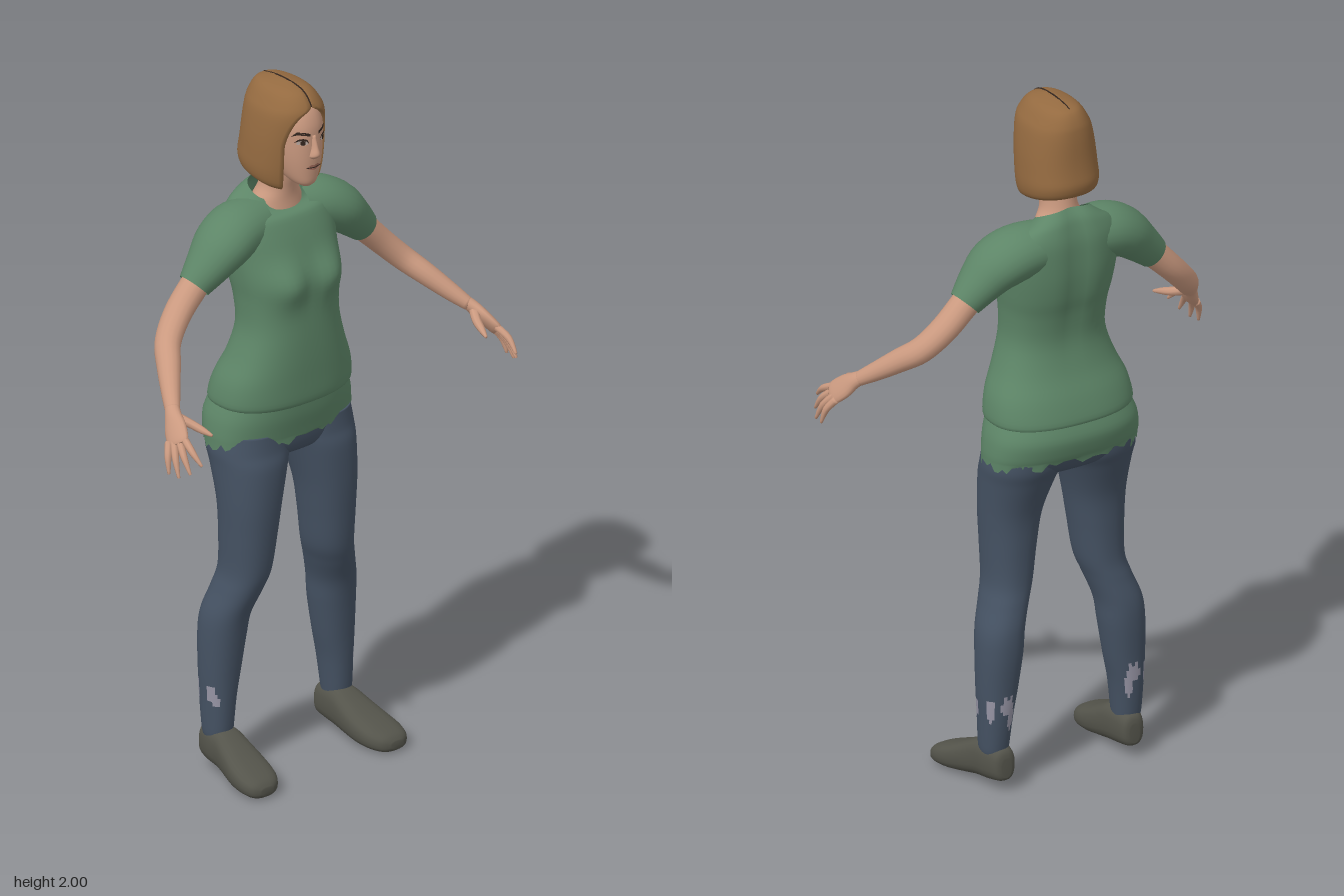
import * as THREE from 'three';

const V = (x, y, z) => new THREE.Vector3(x, y, z);
const mat = (name, color, side = THREE.FrontSide) => {
  const m = new THREE.MeshStandardMaterial({ color, side });
  m.name = name;
  return m;
};

// Catmull-Rom through rows of numbers, k steps per span
function smooth(rows, k = 4) {
  const out = [], at = i => rows[Math.min(rows.length - 1, Math.max(0, i))];
  for (let i = 0; i < rows.length - 1; i++)
    for (let s = 0; s < k; s++) {
      const t = s / k;
      out.push(rows[i].map((b, c) => {
        const a = at(i - 1)[c], d = at(i + 1)[c], e = at(i + 2)[c];
        return b + 0.5 * t * (d - a + t * (2 * a - 5 * b + 4 * d - e + t * (3 * (b - d) + e - a)));
      }));
    }
  out.push(rows[rows.length - 1]);
  return out;
}

// Horizontal rounded cross-section, starting at the front and turning to +x
const pow = (v, e) => Math.sign(v) * Math.abs(v) ** e;
function oval(y, x0, x1, z0, z1, n = 2.3, N = 32) {
  return Array.from({ length: N }, (_, j) => {
    const a = j / N * Math.PI * 2;
    return V((x0 + x1) / 2 + (x1 - x0) / 2 * pow(Math.sin(a), 2 / n), y,
      (z0 + z1) / 2 + (z1 - z0) / 2 * pow(Math.cos(a), 2 / n));
  });
}

// Skin over closed rings; pick(i, j, point) may send a quad to the second material
function skin(rings, caps = true, pick = () => false) {
  const N = rings[0].length, pos = [], lists = [[], []];
  rings.forEach(r => r.forEach(p => pos.push(p.x, p.y, p.z)));
  for (let i = 0; i < rings.length - 1; i++)
    for (let j = 0; j < N; j++) {
      const a = i * N + j, b = i * N + (j + 1) % N;
      lists[pick(i, j, rings[i][j]) ? 1 : 0].push(a, b, b + N, a, b + N, a + N);
    }
  if (caps) [0, rings.length - 1].forEach((i, end) => {
    const c = rings[i].reduce((s, p) => s.add(p), V(0, 0, 0)).divideScalar(N);
    const k = pos.length / 3;
    pos.push(c.x, c.y, c.z);
    for (let j = 0; j < N; j++) {
      const a = i * N + j, b = i * N + (j + 1) % N;
      end ? lists[0].push(k, a, b) : lists[0].push(k, b, a);
    }
  });
  const g = new THREE.BufferGeometry();
  g.setAttribute('position', new THREE.Float32BufferAttribute(pos, 3));
  g.setIndex([...lists[0], ...lists[1]]);
  if (lists[1].length) {
    g.addGroup(0, lists[0].length, 0);
    g.addGroup(lists[0].length, lists[1].length, 1);
  }
  g.computeVertexNormals();
  return g;
}

// Limb along rows of [x, y, z, radius across, radius through]
function limb(rows, caps = true, N = 16, k = 4) {
  const r = smooth(rows, k);
  return skin(r.map((p, i) => {
    const a = r[Math.max(0, i - 1)], b = r[Math.min(r.length - 1, i + 1)];
    const T = V(b[0] - a[0], b[1] - a[1], b[2] - a[2]).normalize();
    const U = V(0, 0, 1).addScaledVector(T, -T.z).normalize(), B = T.clone().cross(U);
    return Array.from({ length: N }, (_, j) => {
      const t = j / N * Math.PI * 2;
      return V(p[0], p[1], p[2]).addScaledVector(U, Math.cos(t) * p[3]).addScaledVector(B, Math.sin(t) * p[4]);
    });
  }), caps);
}

function mirrored(g) {
  const m = g.clone().scale(-1, 1, 1), ix = m.index.array;
  for (let i = 0; i < ix.length; i += 3) [ix[i], ix[i + 1]] = [ix[i + 1], ix[i]];
  m.computeVertexNormals();
  return m;
}

export function createModel() {
  const root = new THREE.Group();
  const D = THREE.DoubleSide;
  const skinM = mat('skin', 0xcb9a80), shirtM = mat('shirt green', 0x5d8567, D), jeansM = mat('denim blue', 0x455263);
  const hairM = mat('hair brown', 0x946a40, D), shoeM = mat('shoe grey', 0x54544b), patchM = mat('worn patch', 0x9896a6);
  const darkM = mat('dark brown', 0x33261f), whiteM = mat('eye white', 0xb9aaa2), lipM = mat('lip', 0xa56f5f);
  const add = (name, g, m) => {
    const mesh = new THREE.Mesh(g, m);
    mesh.name = name;
    root.add(mesh);
  };
  const pair = (name, g, m) => { add(name + 'Left', g, m); add(name + 'Right', mirrored(g), m); };

  // Shirt body: y, half width, front z, back z
  const torso = smooth([
    [1.075, .203, .033, -.222], [1.09, .214, .042, -.232], [1.15, .204, .045, -.215], [1.22, .174, .047, -.186],
    [1.30, .15, .046, -.17], [1.38, .15, .042, -.18], [1.44, .158, .036, -.196], [1.50, .165, .02, -.205],
    [1.56, .17, .002, -.207], [1.61, .165, -.02, -.205], [1.65, .14, -.042, -.196], [1.675, .108, -.058, -.186],
    [1.697, .078, -.068, -.168]]).map(([y, w, f, b]) => {
    const ring = oval(y, -w, w, b, f, 2.4, 48);
    const t = THREE.MathUtils.smoothstep(y, 1.6, 1.69);
    ring.forEach(p => {
      const front = (p.z - b) / (f - b);
      if (front > .5) p.z += .03 * Math.exp(-(((Math.abs(p.x) - .075) / .06) ** 2) - ((y - 1.44) / .06) ** 2);
      if (front < .5) p.z += .012 * Math.exp(-((p.x / .03) ** 2)) * THREE.MathUtils.smoothstep(y, 1.2, 1.5);
      p.y -= .05 * t * front;
    });
    return ring;
  });
  add('shirtBody', skin(torso, false), shirtM);
  pair('sleeve', limb([[.07, 1.585, -.115, .08, .07], [.14, 1.58, -.11, .088, .074], [.2, 1.553, -.1, .086, .07],
    [.25, 1.51, -.098, .068, .058], [.298, 1.463, -.1, .046, .045]], false, 24), shirtM);

  // Under-layer at the hips, with a ragged lower edge
  const hips = smooth([[.975, .229, .016, -.222], [1.0, .229, .021, -.232], [1.045, .222, .03, -.24],
    [1.09, .205, .034, -.226]]).map(([y, w, f, b], i) => {
    const ring = oval(y, -w, w, b, f, 2.4, 64);
    if (i === 0) ring.forEach((p, j) => { p.y += .009 * Math.sin(j * 2.3) + .007 * Math.sin(j * .9) - .012 * Math.abs(p.x) / w; });
    return ring;
  });
  add('hipLayer', skin(hips, false), shirtM);

  // Jeans: seat and legs
  add('jeansSeat', skin(smooth([[.912, .05, -.03, -.12], [.925, .15, -.005, -.175], [.95, .215, .008, -.205],
    [1.0, .223, .014, -.224], [1.06, .2, .012, -.215]]).map(([y, w, f, b]) => oval(y, -w, w, b, f, 2.4))), jeansM);
  const leg = smooth([[.105, .172, .245, -.066, -.144], [.13, .17, .249, -.06, -.15], [.22, .16, .253, -.055, -.16],
    [.30, .145, .257, -.05, -.165], [.40, .13, .257, -.04, -.172], [.47, .122, .25, -.028, -.17],
    [.54, .1, .226, -.005, -.156], [.60, .08, .211, .01, -.146], [.70, .065, .212, .02, -.146],
    [.80, .048, .217, .026, -.154], [.90, .02, .222, .025, -.185], [.95, 0, .225, .014, -.204],
    [1.0, 0, .218, .008, -.21]], 7).map(([y, a, b, f, k]) => oval(y, a, b, k, f, 2.2, 40));
  // Worn patches: ring position, height, spread in each
  const spots = [[7, .235, 1.7, .025], [5, .215, 1.2, .02], [14, .24, 1.4, .04], [20, .25, 2.6, .028], [22, .21, 1.8, .03]];
  pair('jeansLeg', skin(leg, true, (i, j, p) => spots.some(([a, y, da, dy]) =>
    ((j - a) / da) ** 2 + ((p.y - y) / dy) ** 2 < 1 + .3 * Math.sin(i * 5 + j * 3))), [jeansM, patchM]);

  // Shoes: z, inner x, outer x, bottom, top
  pair('shoe', skin(smooth([[-.162, .188, .218, .045, .1], [-.152, .172, .236, .034, .125], [-.11, .164, .25, .026, .137],
    [-.065, .16, .256, .02, .134], [-.02, .156, .268, .012, .112], [.03, .155, .281, .004, .087],
    [.08, .163, .285, .001, .066], [.113, .183, .274, .002, .05], [.127, .21, .25, .012, .034]])
    .map(([z, a, b, lo, hi]) => oval(0, a, b, lo, hi, 2.6, 24).reverse().map(p => V(p.x, p.z, z)))), shoeM);

  // Arms and hands
  pair('arm', limb([[.24, 1.515, -.1, .042, .042], [.30, 1.46, -.1, .041, .039], [.36, 1.4, -.095, .041, .036],
    [.415, 1.343, -.07, .038, .034], [.455, 1.3, -.02, .034, .031], [.495, 1.255, .035, .027, .025],
    [.525, 1.222, .078, .021, .018]]), skinM);
  pair('palm', limb([[.515, 1.234, .062, .02, .018], [.53, 1.217, .085, .024, .018], [.545, 1.192, .112, .035, .017],
    [.56, 1.167, .14, .036, .014], [.565, 1.158, .149, .03, .01]]), skinM);
  const tips = [[.556, 1.122, .235], [.577, 1.095, .212], [.593, 1.08, .183], [.598, 1.082, .148]];
  tips.forEach(([x, y, z], i) => {
    const k = (1.5 - i) * .017, a = [.562 - .35 * k, 1.166 + .35 * k, .138 + .87 * k];
    const mid = [(a[0] + x) / 2 + .006, (a[1] + y) / 2 + .005, (a[2] + z) / 2 + .003];
    pair('finger' + (i + 1), limb([[...a, .011, .011], [...mid, .0095, .0095], [x, y, z, .004, .004]], true, 8), skinM);
  });
  pair('thumb', limb([[.528, 1.213, .092, .014, .014], [.507, 1.198, .13, .013, .012], [.495, 1.187, .165, .01, .01],
    [.485, 1.178, .195, .004, .004]], true, 8), skinM);

  // Neck and head
  add('neck', skin(smooth([[1.6, .085, -.045, -.165], [1.645, .074, -.05, -.165], [1.68, .054, -.048, -.155],
    [1.72, .049, -.04, -.148], [1.79, .05, -.03, -.14]]).map(([y, w, f, b]) => oval(y, -w, w, b, f, 2))), skinM);
  const headRows = smooth([[1.716, .016, .03, -.01], [1.728, .033, .041, -.04], [1.755, .05, .046, -.09],
    [1.80, .065, .05, -.13], [1.85, .074, .05, -.155], [1.90, .076, .046, -.165], [1.945, .064, .024, -.155],
    [1.97, .035, -.02, -.12]], 6);
  add('head', skin(headRows.map(([y, w, f, b]) => oval(y, -w, w, b, f, 2.2, 40))), skinM);
  add('nose', skin(smooth([[1.801, .006, .03, .05], [1.81, .015, .03, .064], [1.82, .014, .03, .07],
    [1.84, .009, .03, .064], [1.872, .007, .03, .053]]).map(([y, w, b, f]) => oval(y, -w, w, b, f, 2, 16))), skinM);
  pair('ear', new THREE.SphereGeometry(1, 12, 8).scale(.008, .028, .018).translate(.074, 1.84, -.055), skinM);

  // Face details laid on the head surface
  const faceZ = (x, y) => {
    const r = headRows.reduce((m, q) => Math.abs(q[0] - y) < Math.abs(m[0] - y) ? q : m);
    return (r[2] + r[3]) / 2 + (r[2] - r[3]) / 2 * Math.max(0, 1 - Math.abs(x / r[1]) ** 2.2) ** (1 / 2.2);
  };
  const plate = (pts, lift) => {
    const g = new THREE.ShapeGeometry(new THREE.Shape(pts.map(p => new THREE.Vector2(...p)))), a = g.attributes.position;
    for (let i = 0; i < a.count; i++) a.setZ(i, faceZ(a.getX(i), a.getY(i)) + lift);
    g.computeVertexNormals();
    return g;
  };
  pair('eye', plate([[.02, 1.851], [.034, 1.848], [.049, 1.853], [.045, 1.862], [.033, 1.865], [.024, 1.86]], .002), whiteM);
  pair('iris', plate([[.029, 1.851], [.035, 1.849], [.041, 1.852], [.041, 1.861], [.035, 1.864], [.029, 1.861]], .004), darkM);
  pair('eyelid', plate([[.019, 1.853], [.025, 1.86], [.034, 1.864], [.045, 1.862], [.054, 1.856], [.046, 1.867], [.034, 1.869], [.024, 1.865]], .004), darkM);
  pair('eyebrow', plate([[.014, 1.873], [.03, 1.877], [.046, 1.88], [.058, 1.874], [.047, 1.888], [.03, 1.886], [.014, 1.88]], .003), darkM);
  pair('lips', plate([[0, 1.77], [.014, 1.773], [.025, 1.779], [.01, 1.787], [0, 1.785]], .003), lipM);
  pair('mouthLine', plate([[0, 1.777], [.025, 1.778], [.025, 1.78], [0, 1.78]], .005), darkM);

  // Bobbed hair, open at the face: y, half width, front z, back z, half opening
  const hairRows = smooth([[1.702, .088, .005, -.193, .06], [1.715, .1, .014, -.202, .064], [1.75, .106, .022, -.207, .068],
    [1.80, .105, .03, -.203, .07], [1.85, .102, .036, -.198, .07], [1.90, .095, .044, -.195, .057],
    [1.93, .088, .045, -.192, .036], [1.95, .078, .04, -.188, .003], [1.975, .062, .022, -.176, .001],
    [1.99, .043, -.002, -.158, .001], [1.999, .012, -.045, -.11, .0005]], 3);
  const M = 40, n = 2.3;
  add('hair', skin(hairRows.map(([y, w, f, b, open], i) => {
    const c = (f + b) / 2, r = (f - b) / 2, a0 = Math.asin(Math.min(1, Math.max(.0001, open) / w) ** (n / 2));
    const inner = y > 1.94 ? .9 : i === 0 ? .95 : .8;
    const shell = k => Array.from({ length: M }, (_, j) => {
      const a = a0 + (Math.PI * 2 - 2 * a0) * j / (M - 1);
      const z = c + k * r * pow(Math.cos(a), 2 / n);
      const lift = .042 * (1 - THREE.MathUtils.smoothstep(y, 1.7, 1.84)) * (f - z) / (f - b);
      return V(k * w * pow(Math.sin(a), 2 / n), y + lift, z);
    });
    return [...shell(1), ...shell(inner).reverse()];
  }), false), hairM);
  add('hairCrown', new THREE.SphereGeometry(1, 20, 12).scale(.055, .028, .085).translate(0, 1.971, -.079), hairM);
  add('hairParting', new THREE.TubeGeometry(new THREE.CatmullRomCurve3([V(0, 1.952, .039), V(0, 1.976, .021),
    V(0, 1.991, -.004), V(0, 1.999, -.06), V(0, 1.998, -.11), V(0, 1.99, -.157)]), 20, .0022, 6), darkM);

  return root;
}
